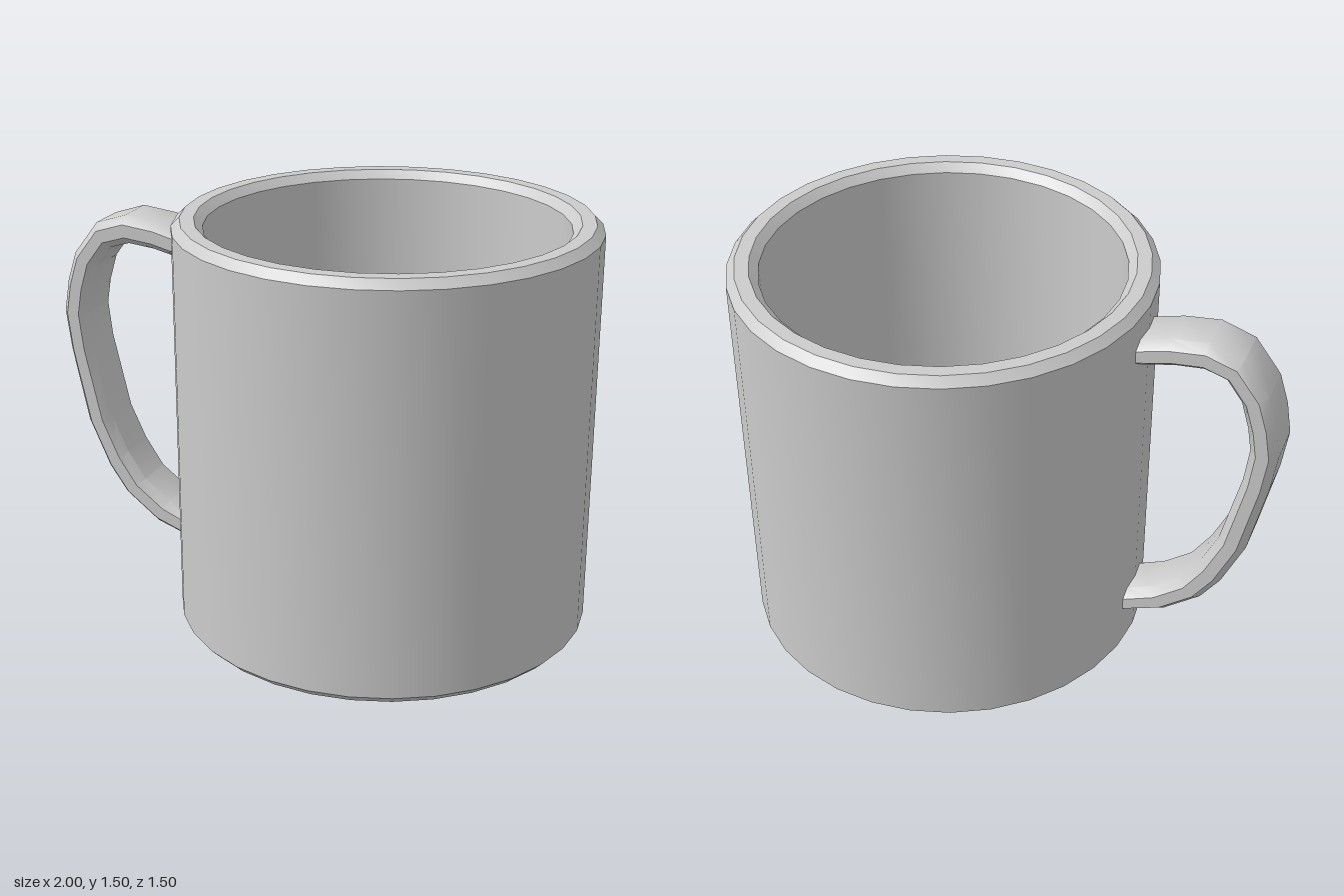
import * as THREE from 'three';
import { toCreasedNormals } from 'three/addons/utils/BufferGeometryUtils.js';

const material = new THREE.MeshStandardMaterial({ color: 0xcccccc });

// Cup: one closed lathe profile, up the outside, over the rim and down the inside
function createCup() {
  const profile = [
    [0, 0], [0.72, 0], [0.75, 0.03], [0.75, 1.47], [0.72, 1.5],
    [0.67, 1.5], [0.64, 1.47], [0.64, 0.1], [0, 0.1],
  ].map(([r, y]) => new THREE.Vector2(r, y));
  const cup = new THREE.Mesh(toCreasedNormals(new THREE.LatheGeometry(profile, 32), 0.5), material);
  cup.name = 'cup';
  cup.position.x = 0.25;
  return cup;
}

// Handle: a bevelled band swept between an outer and an inner curve
function createHandle() {
  // Outer x, y and inner x, y, from the top joint to the bottom one
  const stations = [
    [-0.43, 1.365, -0.43, 1.265], [-0.49, 1.38, -0.49, 1.28], [-0.6, 1.41, -0.62, 1.31],
    [-0.73, 1.425, -0.72, 1.32], [-0.85, 1.385, -0.8, 1.295], [-0.945, 1.26, -0.855, 1.22],
    [-0.98, 1.15, -0.885, 1.12], [-1, 1.03, -0.9, 1.03], [-0.98, 0.88, -0.885, 0.9],
    [-0.92, 0.6, -0.82, 0.62], [-0.84, 0.42, -0.76, 0.49], [-0.77, 0.32, -0.69, 0.385],
    [-0.64, 0.22, -0.59, 0.31], [-0.5, 0.17, -0.5, 0.27], [-0.43, 0.15, -0.43, 0.25],
  ];
  // Cross-section: depth from outer (0) to inner (1), and z
  const section = [
    [0, -0.075], [0, 0.075], [0.27, 0.11], [0.73, 0.11],
    [1, 0.075], [1, -0.075], [0.73, -0.11], [0.27, -0.11],
  ];
  const positions = [];
  const index = [];
  const n = section.length;
  stations.forEach(([xo, yo, xi, yi], i) => {
    section.forEach(([t, z], j) => {
      positions.push(xo + (xi - xo) * t, yo + (yi - yo) * t, z);
      if (i === stations.length - 1) return;
      const a = i * n + j;
      const b = i * n + ((j + 1) % n);
      index.push(a, a + n, b, b, a + n, b + n);
    });
  });
  const geometry = new THREE.BufferGeometry();
  geometry.setAttribute('position', new THREE.Float32BufferAttribute(positions, 3));
  geometry.setIndex(index);
  const handle = new THREE.Mesh(toCreasedNormals(geometry, 0.68), material);
  handle.name = 'handle';
  return handle;
}

export function createModel() {
  const mug = new THREE.Group();
  mug.name = 'mug';
  mug.add(createCup(), createHandle());
  return mug;
}
